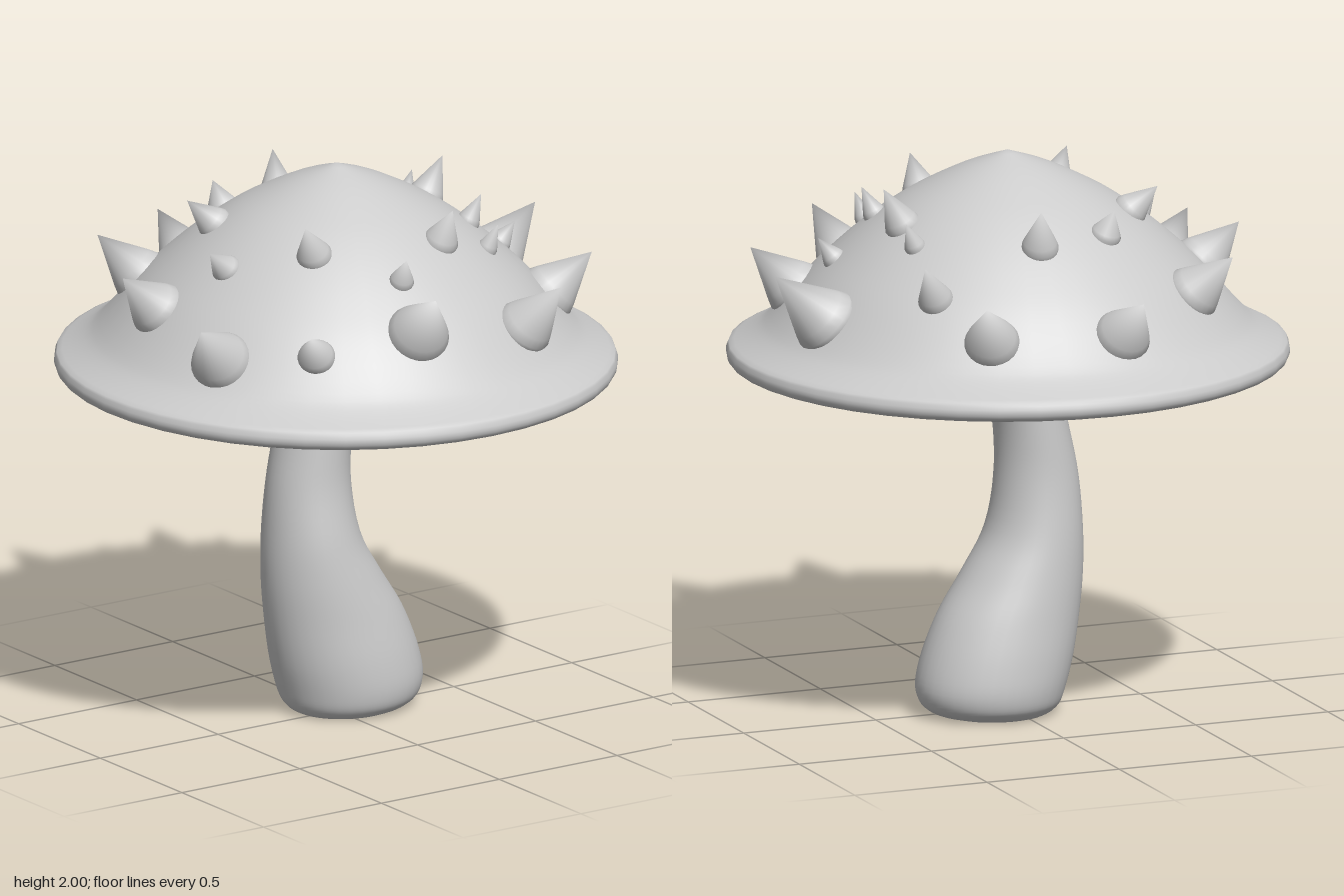
import * as THREE from 'three';

const material = new THREE.MeshStandardMaterial({ color: 0xcccccc, roughness: 0.8 });

// Upper cap profile (radius, height), from rim to peak
const capTop = [
  [0.975, 1.315], [0.89, 1.36], [0.825, 1.415], [0.7, 1.56], [0.6, 1.657],
  [0.5, 1.742], [0.4, 1.815], [0.3, 1.875], [0.15, 1.948], [0, 2],
];

// Height of the cap surface at a given radius
function capHeight(r) {
  for (let i = 0; i < capTop.length - 1; i++) {
    const [r0, y0] = capTop[i], [r1, y1] = capTop[i + 1];
    if (r >= r1) return y0 + (y1 - y0) * (r - r0) / (r1 - r0);
  }
  return 2;
}

const spline = (points, count) =>
  new THREE.SplineCurve(points.map(p => new THREE.Vector2(...p))).getPoints(count);

// Lathe whose peak is shaded smoothly
function smoothLathe(points, segments) {
  const geometry = new THREE.LatheGeometry(points, segments);
  const normals = geometry.attributes.normal;
  for (let i = 1; i <= segments + 1; i++) normals.setXYZ(i * points.length - 1, 0, 1, 0);
  return geometry;
}

// Domed cap with a rolled rim and a shallow hollow underneath, tipped slightly forward
function makeCap() {
  const under = spline([[0, 1.32], [0.3, 1.318], [0.6, 1.303], [0.8, 1.28], [0.93, 1.25]], 16);
  const rim = spline([[0.95, 1.246], [0.975, 1.258], [0.985, 1.285], [0.975, 1.315]], 8);
  rim.pop();
  const cap = new THREE.Mesh(smoothLathe([...under, ...rim, ...spline(capTop, 32)], 44), material);
  cap.rotation.x = 0.008;
  cap.position.z = -0.01;
  cap.name = 'cap';
  return cap;
}

// Stem cross-sections: height, left x, right x, back z, front z
const stemSections = [
  [0, -0.12, 0.25, -0.21, 0.13], [0.015, -0.145, 0.3, -0.24, 0.16],
  [0.045, -0.166, 0.335, -0.27, 0.185], [0.1, -0.184, 0.352, -0.285, 0.197],
  [0.2, -0.21, 0.335, -0.283, 0.195], [0.35, -0.235, 0.275, -0.265, 0.177],
  [0.5, -0.25, 0.18, -0.243, 0.158], [0.65, -0.25, 0.095, -0.222, 0.137],
  [0.85, -0.232, 0.062, -0.2, 0.107], [1.05, -0.19, 0.068, -0.195, 0.104],
  [1.25, -0.15, 0.113, -0.193, 0.104], [1.36, -0.12, 0.145, -0.193, 0.104],
];

function makeStem() {
  const sides = 36, rows = 50;
  const column = i => new THREE.CatmullRomCurve3(
    stemSections.map(s => new THREE.Vector3(s[i], s[i + 1], s[0])));
  const widths = column(1), depths = column(3);
  const pos = [], index = [];
  for (let j = 0; j <= rows; j++) {
    const w = widths.getPoint(j / rows), d = depths.getPoint(j / rows);
    for (let i = 0; i < sides; i++) {
      const a = i / sides * Math.PI * 2;
      pos.push((w.x + w.y) / 2 + Math.sin(a) * (w.y - w.x) / 2, w.z,
        (d.x + d.y) / 2 + Math.cos(a) * (d.y - d.x) / 2);
      if (j === rows) continue;
      const p = j * sides + i, q = j * sides + (i + 1) % sides;
      index.push(p, q, q + sides, p, q + sides, p + sides);
    }
  }
  // Foot face
  const centre = pos.length / 3;
  pos.push(0.065, 0, -0.04);
  for (let i = 0; i < sides; i++) index.push(centre, (i + 1) % sides, i);
  const geometry = new THREE.BufferGeometry();
  geometry.setAttribute('position', new THREE.Float32BufferAttribute(pos, 3));
  geometry.setIndex(index);
  geometry.computeVertexNormals();
  const stem = new THREE.Mesh(geometry, material);
  stem.name = 'stem';
  return stem;
}

// Spikes: base x, base z, tip x, tip y, tip z, base radius
const largeSpikes = [
  [-0.12, -0.75, -0.14, 1.63, -0.89, 0.1], [0.345, -0.675, 0.415, 1.64, -0.8, 0.097],
  [-0.495, -0.5, -0.6, 1.69, -0.595, 0.1], [-0.69, -0.105, -0.825, 1.69, -0.115, 0.1],
  [-0.705, 0.31, -0.845, 1.625, 0.395, 0.108], [-0.12, 0.68, -0.155, 1.73, 0.835, 0.11],
  [0.345, 0.66, 0.41, 1.67, 0.79, 0.104], [0.675, 0.335, 0.805, 1.635, 0.405, 0.105],
  [0.75, -0.135, 0.935, 1.66, -0.13, 0.122],
];
const smallSpikes = [
  [-0.38, -0.2, -0.465, 1.88, -0.24, 0.063], [-0.52, 0.075, -0.595, 1.79, 0.085, 0.053],
  [-0.475, 0.565, -0.54, 1.605, 0.63, 0.066], [-0.305, 0.305, -0.365, 1.905, 0.34, 0.063],
  [0.165, 0.405, 0.18, 1.905, 0.455, 0.063], [-0.085, 0.525, -0.095, 1.8, 0.57, 0.044],
  [0.39, 0.365, 0.415, 1.8, 0.395, 0.036], [0.42, 0.205, 0.46, 1.86, 0.225, 0.042],
  [0.605, 0.13, 0.655, 1.71, 0.15, 0.042], [0.43, -0.07, 0.5, 1.92, -0.07, 0.065],
  [0.445, -0.22, 0.485, 1.83, -0.235, 0.038], [0.465, -0.455, 0.53, 1.735, -0.515, 0.063],
  [0.075, -0.465, 0.095, 1.9, -0.525, 0.066], [-0.195, -0.415, -0.215, 1.86, -0.445, 0.056],
];

// Cone standing on the cap, with its base sunk slightly into it
function makeSpike([bx, bz, tx, ty, tz, radius], name) {
  const base = new THREE.Vector3(bx, capHeight(Math.hypot(bx, bz)), bz);
  const axis = new THREE.Vector3(tx, ty, tz).sub(base);
  const length = axis.length();
  const profile = [[radius * 0.96, -0.02], [radius, 0], [radius * 0.88, length * 0.14],
    [0, length]].map(p => new THREE.Vector2(...p));
  const spike = new THREE.Mesh(smoothLathe(profile, 24), material);
  spike.quaternion.setFromUnitVectors(new THREE.Vector3(0, 1, 0), axis.normalize());
  spike.position.copy(base);
  spike.name = name;
  return spike;
}

export function createModel() {
  const model = new THREE.Group();
  model.name = 'spikedMushroom';
  const head = new THREE.Group();
  head.name = 'head';
  head.add(makeCap());
  largeSpikes.forEach(s => head.add(makeSpike(s, 'largeSpike')));
  smallSpikes.forEach(s => head.add(makeSpike(s, 'smallSpike')));
  model.add(head, makeStem());
  return model;
}
